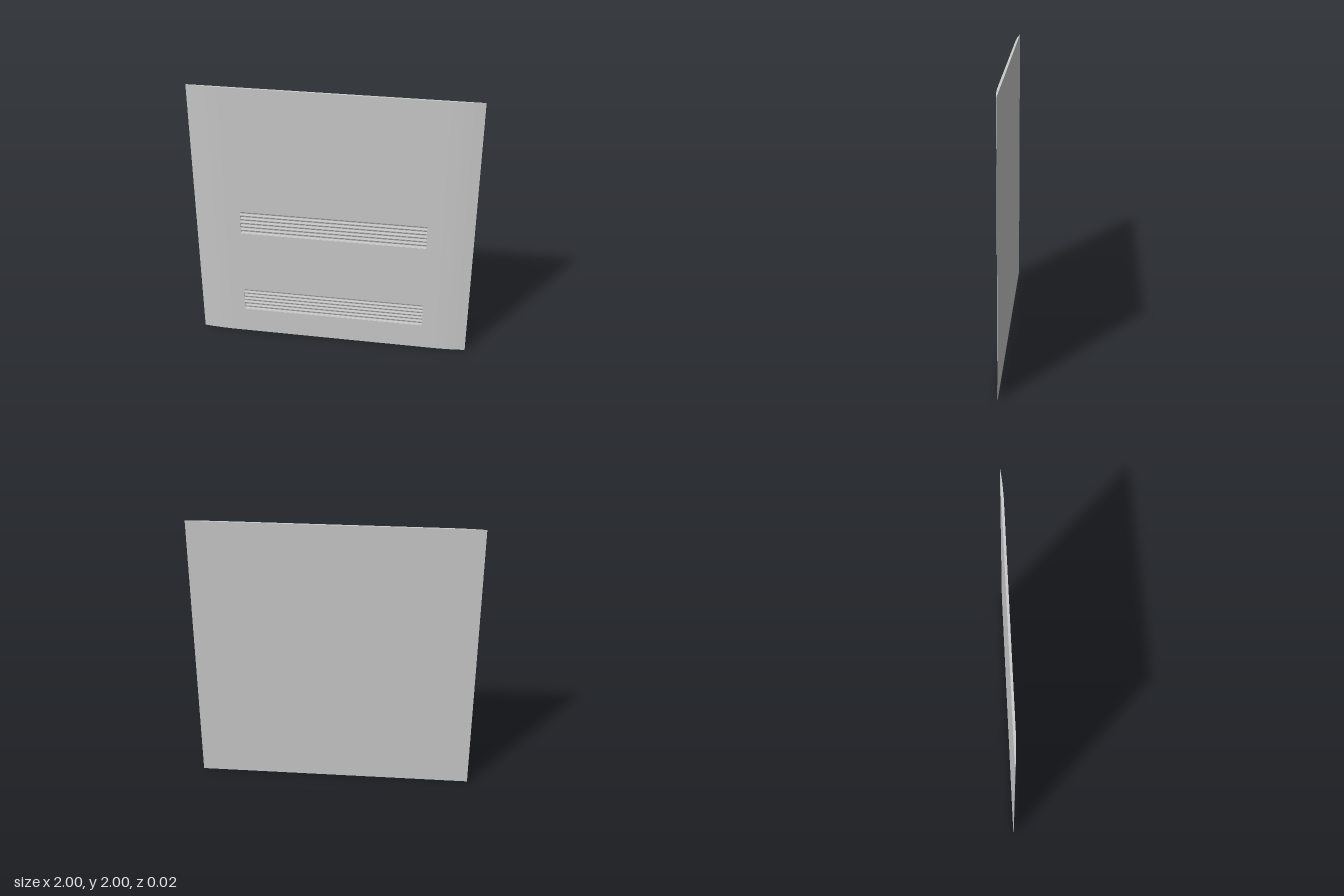
import * as THREE from 'three';

const BACK = -0.008, FRONT = 0.008; // panel faces
const HALF = 0.67;                  // half length of the ribbed recesses
const RIBS = 6, PITCH = 0.03;       // ribs per recess

export function createModel() {
  const group = new THREE.Group();
  const material = new THREE.MeshStandardMaterial({ color: 0xcccccc });

  const extrude = (points, depth) => new THREE.ExtrudeGeometry(
    new THREE.Shape(points.map(([x, y]) => new THREE.Vector2(x, y))),
    { depth, bevelEnabled: false });

  const add = (geometry, name) => {
    const mesh = new THREE.Mesh(geometry, material);
    mesh.name = name;
    group.add(mesh);
  };

  // Middle of the panel: side profile (z, y) with two runs of shallow ribs
  const profile = [[BACK, 0], [FRONT, 0]];
  for (const bottom of [0.2, 0.87]) {
    profile.push([FRONT, bottom]);
    const steps = RIBS * 6;
    for (let i = 0; i <= steps; i++) {
      const wave = 0.5 - 0.5 * Math.cos((i / 6) * Math.PI * 2);
      profile.push([FRONT - 0.002 - 0.006 * wave, bottom + 0.0005 + (i / steps) * (RIBS * PITCH - 0.001)]);
    }
    profile.push([FRONT, bottom + RIBS * PITCH]);
  }
  profile.push([FRONT, 2], [BACK, 2]);
  const middle = extrude(profile, HALF * 2);
  middle.rotateY(-Math.PI / 2); // profile x becomes z, depth runs towards -x
  middle.translate(HALF, 0, 0);
  add(middle, 'ribbedPanel');

  // Side strips, thinning towards the outer edges
  const taper = [[HALF, FRONT], [0.78, FRONT], [0.86, 0.0055], [0.93, 0.001], [1, -0.006]];
  for (const side of [1, -1]) {
    const outline = [[HALF, BACK], ...taper, [1, BACK]].map(([x, z]) => [side * x, -z]);
    const strip = extrude(outline, 2);
    strip.rotateX(-Math.PI / 2); // outline y becomes -z, depth runs up
    add(strip, side > 0 ? 'leftTaperedEdge' : 'rightTaperedEdge');
  }
  return group;
}
